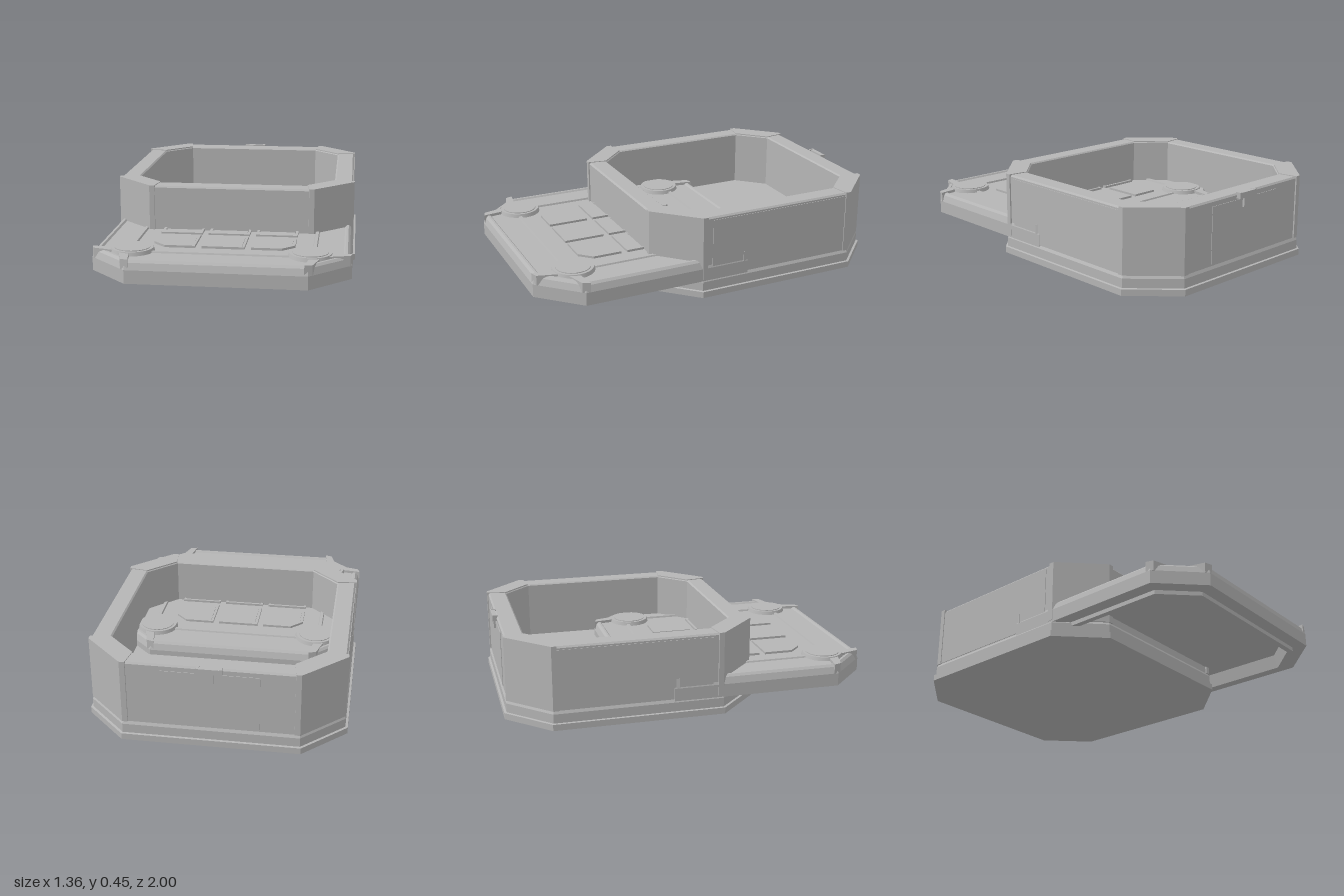
import * as THREE from 'three';

const grey = new THREE.MeshStandardMaterial({ color: 0xb5b5b5 });
grey.name = 'plain grey';

// Chamfered rectangle outline, shrunk evenly by d
function octagon(hx, hz, c, d) {
  const x = hx - d, z = hz - d, k = c - 0.586 * d;
  return [[x, z - k], [x - k, z], [k - x, z], [-x, z - k],
    [-x, k - z], [k - x, -z], [x - k, -z], [x, k - z]];
}

// Flat shaded shell through [inset, y] rings, closed at both ends
function octagonLoft(hx, hz, c, profile) {
  const pos = [];
  const rings = profile.map(([d, y]) => octagon(hx, hz, c, d).map(([x, z]) => [x, y, z]));
  const tri = (a, b, e) => pos.push(...a, ...b, ...e);
  for (let i = 0; i < rings.length - 1; i++) {
    for (let j = 0; j < 8; j++) {
      const n = (j + 1) % 8, p = rings[i], q = rings[i + 1];
      tri(p[j], q[j], q[n]);
      tri(p[j], q[n], p[n]);
    }
  }
  const first = rings[0], last = rings[rings.length - 1];
  for (let j = 1; j < 7; j++) {
    tri(first[0], first[j], first[j + 1]);
    tri(last[0], last[j + 1], last[j]);
  }
  const g = new THREE.BufferGeometry();
  g.setAttribute('position', new THREE.Float32BufferAttribute(pos, 3));
  g.computeVertexNormals();
  return g;
}

// Upright prism from a plan outline of [x, z] points
function prism(points, y0, y1, hole) {
  const vec = (list) => list.map(([x, z]) => new THREE.Vector2(x, -z));
  const s = new THREE.Shape(vec(points));
  if (hole) s.holes.push(new THREE.Path(vec(hole)));
  const g = new THREE.ExtrudeGeometry(s, { depth: y1 - y0, bevelEnabled: false });
  return g.rotateX(-Math.PI / 2).translate(0, y0, 0);
}

function add(parent, name, geometry, x = 0, y = 0, z = 0) {
  const m = new THREE.Mesh(geometry, grey);
  m.name = name;
  m.position.set(x, y, z);
  parent.add(m);
  return m;
}

const box = (w, h, d) => new THREE.BoxGeometry(w, h, d);
const corners = [[1, 1], [1, -1], [-1, 1], [-1, -1]];

function buildCase() {
  const g = new THREE.Group();
  g.name = 'openCase';
  g.position.z = -0.316;
  // Flanged base, walls, rim and sunken floor in one shell
  add(g, 'caseShell', octagonLoft(0.66, 0.66, 0.21, [
    [-0.02, 0], [-0.02, 0.034], [-0.008, 0.036], [-0.008, 0.085], [0, 0.1],
    [0, 0.434], [0.008, 0.443], [0.096, 0.443], [0.104, 0.436], [0.104, 0.125]]));
  // Corner posts wrapping each chamfer
  for (const [sx, sz] of corners) {
    const pts = [[0.667, 0.425], [0.667, 0.453], [0.453, 0.667], [0.425, 0.667],
      [0.41, 0.56], [0.56, 0.41]];
    add(g, 'cornerPost', prism(pts.map(([x, z]) => [x * sx, z * sz]), 0.1, 0.447));
  }
  // Thin wall panels
  for (const s of [1, -1]) add(g, 'sidePanel', box(0.006, 0.32, 0.83), s * 0.66, 0.265, -0.02);
  add(g, 'backPanel', box(0.5, 0.3, 0.006), 0, 0.26, -0.66);
  // Back clip
  add(g, 'clipBar', box(0.13, 0.03, 0.024), 0, 0.433, -0.671);
  add(g, 'clipTongue', box(0.04, 0.06, 0.014), 0, 0.395, -0.667);
  for (const s of [1, -1]) add(g, 'clipEnd', box(0.014, 0.008, 0.03), s * 0.058, 0.446, -0.668);
  return g;
}

function buildLid() {
  const g = new THREE.Group();
  g.name = 'lid';
  g.position.z = 0.33;
  // Hollow underside, stepped lip, bevelled edge and inner rail
  add(g, 'lidShell', octagonLoft(0.665, 0.67, 0.21, [
    [0.12, 0.14], [0.1, 0.068], [0.07, 0.068], [0.07, 0.09], [0, 0.09], [0, 0.16],
    [0.012, 0.195], [0.024, 0.207], [0.036, 0.207], [0.044, 0.198],
    [0.18, 0.2], [0.184, 0.208], [0.2, 0.208], [0.204, 0.198]]));

  // Round corner bosses with two arms to the chamfer ends
  const disc = new THREE.CylinderGeometry(0.108, 0.115, 0.022, 40);
  const inset = new THREE.CylinderGeometry(0.092, 0.092, 0.006, 40);
  const arms = [
    [[0.435, 0.668], [0.475, 0.655], [0.51, 0.53], [0.455, 0.53]],
    [[0.668, 0.435], [0.655, 0.475], [0.53, 0.51], [0.53, 0.455]]];
  for (const [sx, sz] of corners) {
    add(g, 'cornerDisc', disc, sx * 0.455, 0.208, sz * 0.45);
    add(g, 'discCentre', inset, sx * 0.455, 0.22, sz * 0.45);
    for (const arm of arms) {
      add(g, 'cornerArm', prism(arm.map(([x, z]) => [x * sx, z * sz]), 0.16, 0.214));
    }
  }

  // Three by three framed pads, with the outer corners cut
  const pad = (h, cut, sx, sz) => {
    const pts = [];
    for (const [x, z] of [[1, 1], [-1, 1], [-1, -1], [1, -1]]) {
      if (cut && x === sx && z === sz) {
        const a = [x * h, z * (h - cut)], b = [x * (h - cut), z * h];
        pts.push(...(x * z > 0 ? [a, b] : [b, a]));
      } else pts.push([x * h, z * h]);
    }
    return pts;
  };
  for (let i = -1; i <= 1; i++) {
    for (let j = -1; j <= 1; j++) {
      const cut = i && j ? 0.065 : 0;
      const frame = prism(pad(0.112, cut, i, j), 0.196, 0.21, pad(0.099, cut && cut - 0.008, i, j));
      add(g, 'padFrame', frame, i * 0.258, 0, j * 0.257);
      const plate = prism(pad(0.094, cut && cut - 0.01, i, j), 0.196, 0.202);
      add(g, 'padPlate', plate, i * 0.258, 0, j * 0.257);
    }
  }
  return g;
}

export function createModel() {
  const model = new THREE.Group();
  model.name = 'caseWithLid';
  model.add(buildCase(), buildLid());
  return model;
}
